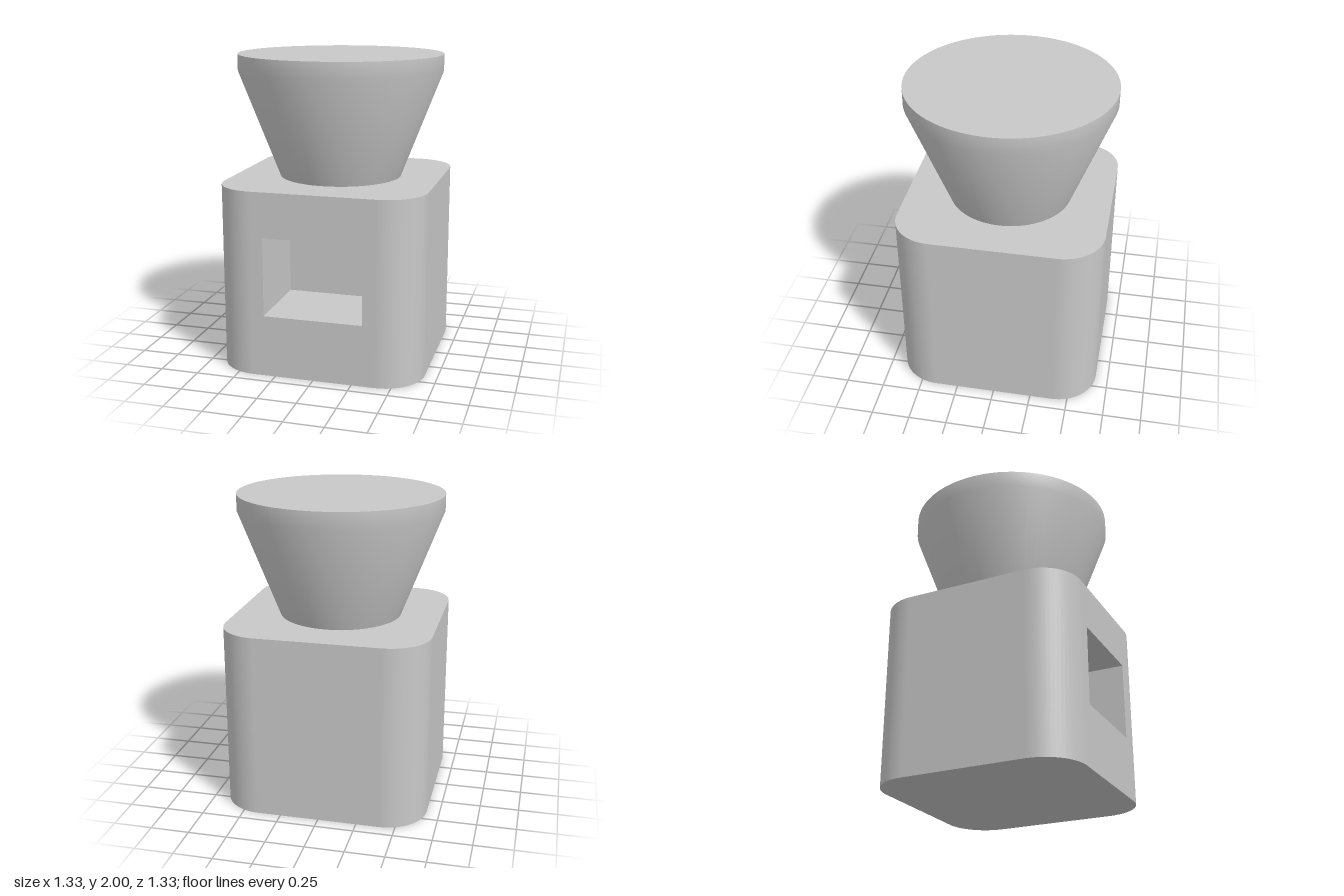
import * as THREE from 'three';
import { toCreasedNormals } from 'three/addons/utils/BufferGeometryUtils.js';

const HALF = 0.667, FLAT = 0.4, RADIUS = HALF - FLAT, BODY_H = 1.2;
const POCKET = { w: 0.64, y0: 0.4, y1: 0.91, depth: 0.533 };

// Rounded square footprint, from the front right corner round the back
function footprint(steps = 16) {
  const pts = [];
  for (let k = 0; k < 4; k++) {
    const mid = Math.PI / 4 - k * Math.PI / 2;
    const cx = FLAT * Math.sign(Math.cos(mid)), cz = FLAT * Math.sign(Math.sin(mid));
    for (let i = 0; i <= steps; i++) {
      const a = mid + Math.PI / 4 - (i / steps) * Math.PI / 2;
      const nx = Math.cos(a), nz = Math.sin(a);
      pts.push({ x: cx + RADIUS * nx, z: cz + RADIUS * nz, nx, nz });
    }
  }
  return pts;
}

// Upright wall: a plane bent round the footprint, open at the front
function wallGeometry(pts) {
  const geo = new THREE.PlaneGeometry(1, BODY_H, pts.length - 1, 1);
  const pos = geo.attributes.position, nor = geo.attributes.normal;
  for (let i = 0; i < pos.count; i++) {
    const p = pts[i % pts.length];
    pos.setXYZ(i, p.x, pos.getY(i) + BODY_H / 2, p.z);
    nor.setXYZ(i, p.nx, 0, p.nz);
  }
  return geo;
}

// Front panel with a rectangular opening
function frontGeometry() {
  const rect = (C, x, y0, y1) => new C([
    new THREE.Vector2(-x, y0), new THREE.Vector2(x, y0),
    new THREE.Vector2(x, y1), new THREE.Vector2(-x, y1),
  ]);
  const shape = rect(THREE.Shape, FLAT, 0, BODY_H);
  shape.holes.push(rect(THREE.Path, POCKET.w / 2, POCKET.y0, POCKET.y1));
  return new THREE.ShapeGeometry(shape).translate(0, 0, HALF);
}

// Recess: a box without its front, turned inside out
function pocketGeometry() {
  const { w, y0, y1, depth } = POCKET;
  const geo = new THREE.BoxGeometry(w, y1 - y0, depth);
  const kept = [...Array.from(geo.index.array).slice(0, 24), ...Array.from(geo.index.array).slice(30)];
  geo.setIndex(kept.reverse());
  geo.clearGroups();
  geo.computeVertexNormals();
  return geo.translate(0, (y0 + y1) / 2, HALF - depth / 2);
}

export function createModel() {
  const grey = new THREE.MeshStandardMaterial({ color: 0xc8c8c8 });
  grey.name = 'light grey';
  const model = new THREE.Group();
  const body = new THREE.Group();
  body.name = 'body';
  model.add(body);
  const add = (parent, name, geo) => {
    const mesh = new THREE.Mesh(geo, grey);
    mesh.name = name;
    parent.add(mesh);
  };

  const pts = footprint();
  const outline = new THREE.Shape(pts.map(p => new THREE.Vector2(p.x, p.z)));
  add(body, 'bodyWall', wallGeometry(pts));
  add(body, 'bodyFront', frontGeometry());
  add(body, 'pocket', pocketGeometry());
  add(body, 'bodyTop', new THREE.ShapeGeometry(outline).rotateX(-Math.PI / 2).translate(0, BODY_H, 0));
  add(body, 'bodyBase', new THREE.ShapeGeometry(outline).rotateX(Math.PI / 2));

  // Flared hopper with a short straight rim and a flat lid
  const profile = [[FLAT, BODY_H], [HALF, 1.893], [HALF, 2], [0, 2]]
    .map(([r, y]) => new THREE.Vector2(r, y));
  add(model, 'hopper', toCreasedNormals(new THREE.LatheGeometry(profile, 96), Math.PI / 6));
  return model;
}
